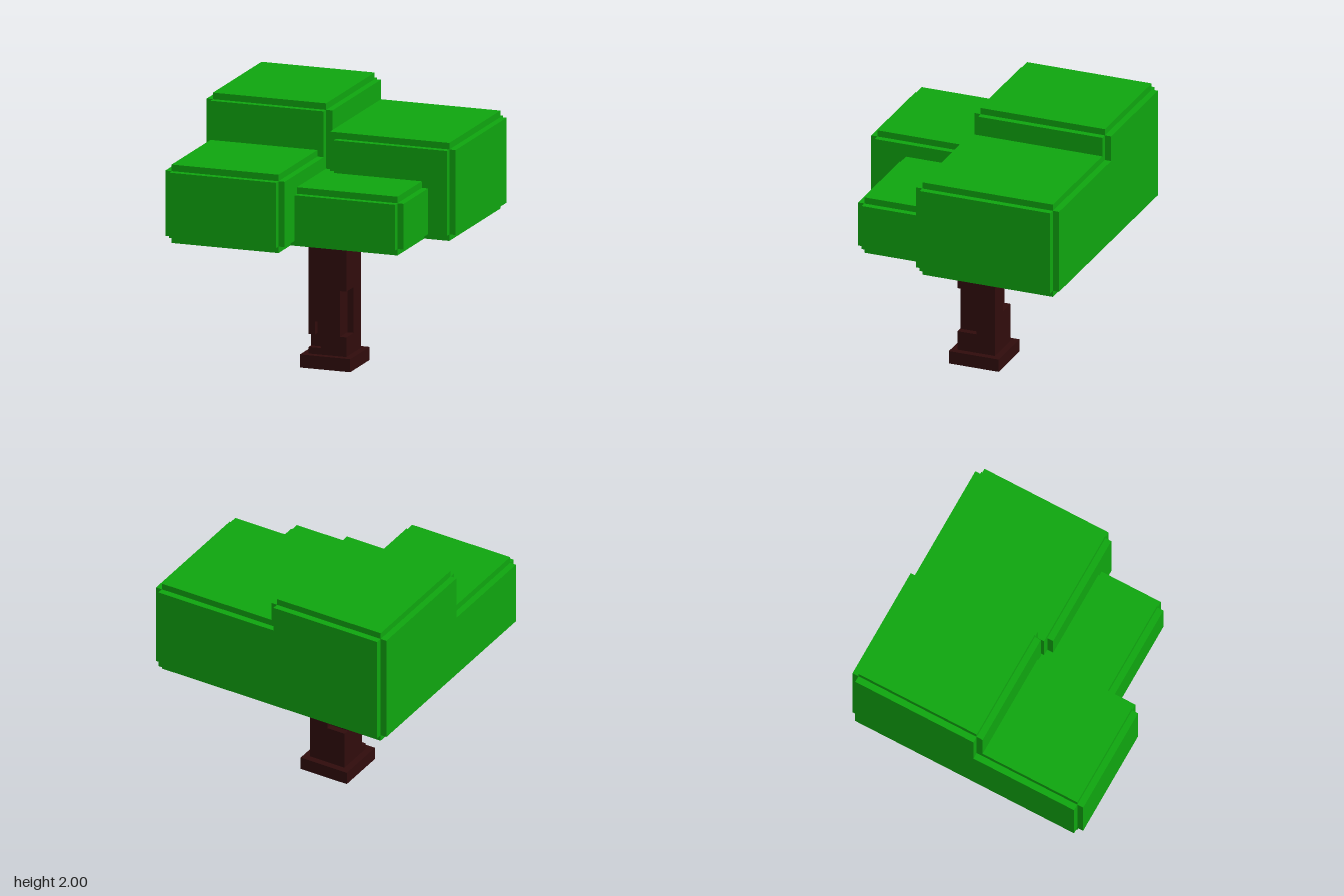
import * as THREE from 'three';

const STEP = 0.05;

// Box given by its min and max on each axis
function box(x0, x1, y0, y1, z0, z1, material) {
  const mesh = new THREE.Mesh(new THREE.BoxGeometry(x1 - x0, y1 - y0, z1 - z0), material);
  mesh.position.set((x0 + x1) / 2, (y0 + y1) / 2, (z0 + z1) / 2);
  return mesh;
}

// Block whose twelve edges are each cut back by one square step
function steppedBlock(name, x0, x1, y0, y1, z0, z1, material) {
  const block = new THREE.Group();
  block.name = name;
  for (const [a, b, c] of [[0, 1, 1], [1, 0, 1], [1, 1, 0]]) {
    const dx = a * STEP, dy = b * STEP, dz = c * STEP;
    const part = box(x0 + dx, x1 - dx, y0 + dy, y1 - dy, z0 + dz, z1 - dz, material);
    part.name = name + 'Core';
    block.add(part);
  }
  return block;
}

// One storey of the trunk, with optional notches in its corners
function trunkLayer(y0, y1, { frontLeft, frontRight, backRight }, material) {
  const p = [[-0.15, -0.125]];
  if (backRight) p.splice(0, 1, [-0.15, -0.075], [0, -0.075], [0, -0.125]);
  p.push([0.15, -0.125]);
  if (frontLeft) p.push([0.15, 0.025], [0.1, 0.025], [0.1, 0.175]);
  else p.push([0.15, 0.175]);
  if (frontRight) p.push([-0.05, 0.175], [-0.05, 0.125], [-0.15, 0.125]);
  else p.push([-0.15, 0.175]);
  const shape = new THREE.Shape(p.map(([x, z]) => new THREE.Vector2(x, -z)));
  const geometry = new THREE.ExtrudeGeometry(shape, { depth: y1 - y0, bevelEnabled: false });
  geometry.rotateX(-Math.PI / 2);
  geometry.translate(0, y0, 0);
  const mesh = new THREE.Mesh(geometry, material);
  mesh.name = 'trunkLayer';
  return mesh;
}

export function createModel() {
  const model = new THREE.Group();
  model.name = 'blockTree';
  const leaf = new THREE.MeshStandardMaterial({ color: 0x0fa50f });
  const bark = new THREE.MeshStandardMaterial({ color: 0x300c0c });

  // Trunk with a square foot and bark notches
  const trunk = new THREE.Group();
  trunk.name = 'trunk';
  const foot = box(-0.2, 0.2, 0, 0.1, -0.175, 0.225, bark);
  foot.name = 'trunkFoot';
  trunk.add(foot);
  const layers = [
    [0.1, 0.15, {}],
    [0.15, 0.25, { frontRight: true }],
    [0.25, 0.35, { frontRight: true, frontLeft: true }],
    [0.35, 0.4, { frontLeft: true }],
    [0.4, 0.6, { frontLeft: true, backRight: true }],
    [0.6, 0.85, { backRight: true }],
    [0.85, 1.1, {}],
  ];
  for (const [y0, y1, notches] of layers) trunk.add(trunkLayer(y0, y1, notches, bark));
  const chip = box(-0.15, -0.1, 0.25, 0.35, 0.125, 0.175, bark);
  chip.name = 'barkChip';
  trunk.add(chip);
  model.add(trunk);

  // Four leaf blocks of different heights, overlapping one another
  const crown = new THREE.Group();
  crown.name = 'crown';
  crown.add(
    steppedBlock('backRightLeaves', -1, 0, 1.05, 2, -0.975, 0.125, leaf),
    steppedBlock('backLeftLeaves', 0, 1, 1.05, 1.8, -0.975, 0.175, leaf),
    steppedBlock('frontRightLeaves', -1, -0.05, 1.05, 1.65, -0.3, 0.975, leaf),
    steppedBlock('frontLeftLeaves', -0.3, 0.8, 1.05, 1.5, -0.2, 0.725, leaf),
  );

  // Fill the seam between the two back blocks so that they join flush
  const seams = [
    [-0.1, 0.1, 1.05, 1.8, -0.925, 0.075],
    [-0.1, 0.1, 1.1, 1.75, -0.975, 0],
    [0, 0.1, 1.1, 1.8, 0, 0.125],
  ];
  for (const s of seams) {
    const seam = box(...s, leaf);
    seam.name = 'leafSeam';
    crown.add(seam);
  }
  model.add(crown);
  return model;
}
